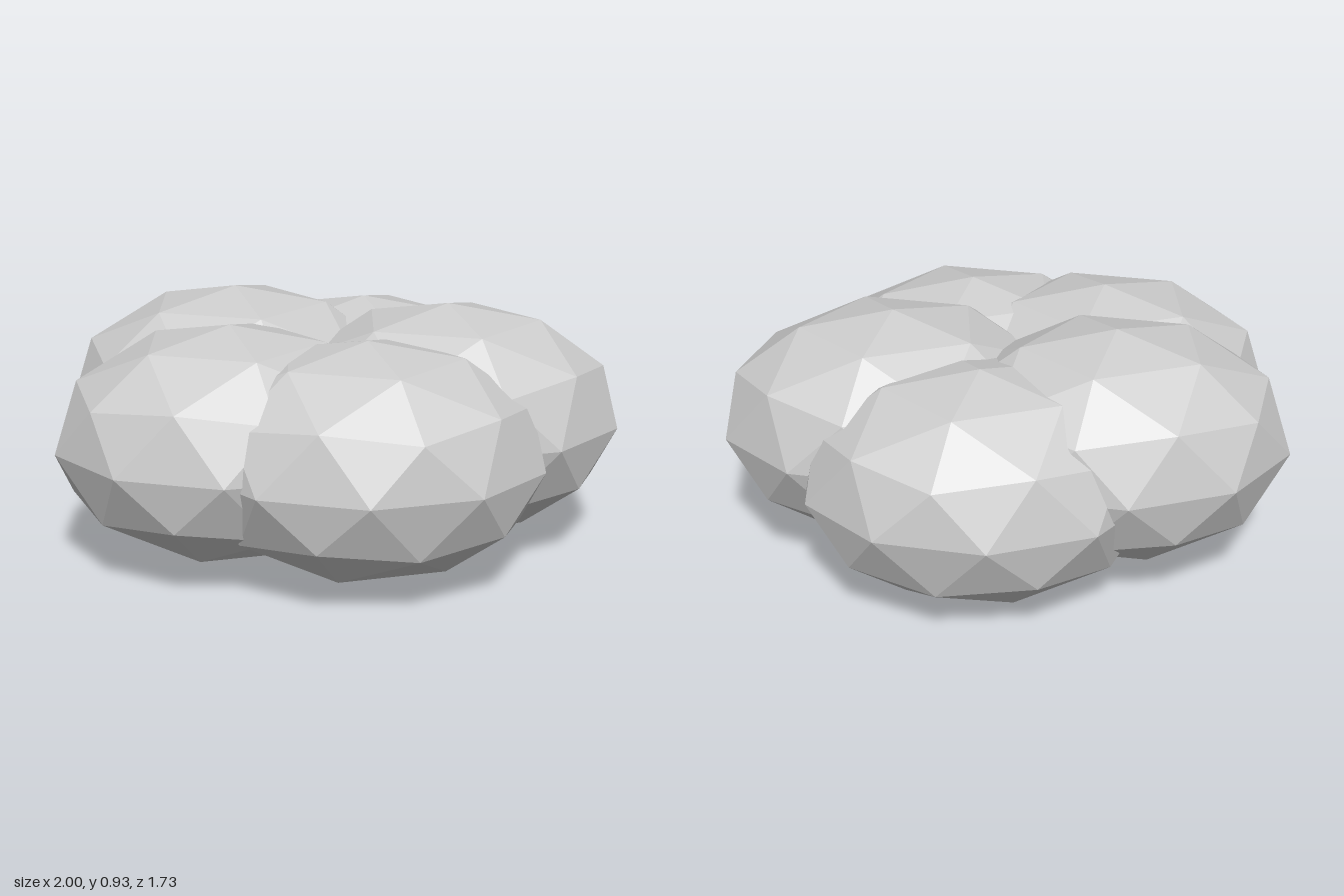
import * as THREE from 'three';

export function createModel() {
  const group = new THREE.Group();
  group.name = 'lobedCluster';
  const material = new THREE.MeshStandardMaterial({ color: 0xcccccc, flatShading: true });

  // Faceted ellipsoid with one vertex turned up to the pole
  const golden = (1 + Math.sqrt(5)) / 2;
  const lobe = new THREE.IcosahedronGeometry(1, 1);
  lobe.rotateZ(-Math.atan(1 / golden));
  lobe.scale(0.641, 0.428, 0.506);
  lobe.computeVertexNormals();

  // Five overlapping lobes around an oval ring, each at its own height
  const lobes = [
    ['leftLobe', 0.491],
    ['frontLeftLobe', 0.451],
    ['frontRightLobe', 0.472],
    ['backRightLobe', 0.503],
    ['backLeftLobe', 0.428],
  ];
  lobes.forEach(([name, y], i) => {
    const angle = (i / lobes.length) * Math.PI * 2;
    const mesh = new THREE.Mesh(lobe, material);
    mesh.name = name;
    mesh.position.set(-0.041 + 0.431 * Math.cos(angle), y, 0.375 * Math.sin(angle));
    group.add(mesh);
  });

  return group;
}
